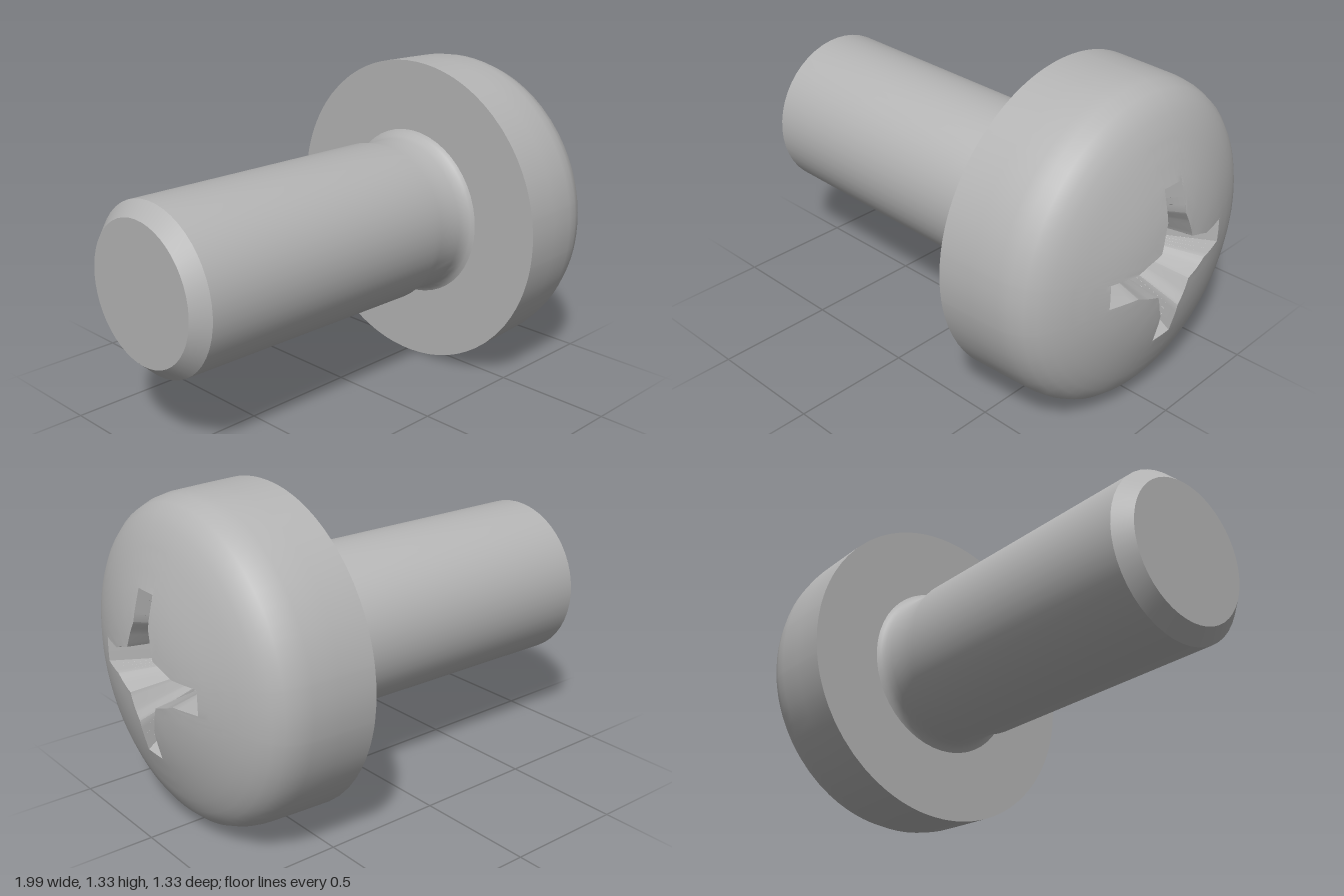
import * as THREE from 'three';
import { toCreasedNormals } from 'three/addons/utils/BufferGeometryUtils.js';

const AXIS_Y = 0.665;

// Head side and dome: [x, radius], from crown to underside
const CROWN = [[1, 0], [0.99, 0.15], [0.975, 0.24], [0.952, 0.33], [0.92, 0.425], [0.89, 0.5]];
const SIDE = [[0.862, 0.555], [0.835, 0.593], [0.8, 0.625], [0.75, 0.646], [0.7, 0.655],
  [0.58, 0.66], [0.43, 0.665], [0.43, 0.3]];
// Neck, shank and chamfered tail: [x, radius]
const SHANK = [[0.43, 0.365], [0.42, 0.35], [0.4, 0.338], [0.37, 0.332], [0.26, 0.332],
  [0.21, 0.343], [-0.94, 0.345], [-1, 0.288], [-1, 0]];

// One quarter of the cross recess, at its mouth and at its floor
const MOUTH = [[0.326, -0.05], [0.326, 0.05], [0.2, 0.053], [0.16, 0.07], [0.092, 0.092],
  [0.07, 0.16], [0.053, 0.2]];
const FLOOR = [[0.084, -0.04], [0.084, 0.04], [0.08, 0.044], [0.074, 0.05], [0.06, 0.06],
  [0.05, 0.074], [0.044, 0.08]];

// Height of the dome at a given radius
function domeX(r) {
  for (let i = 1; i < CROWN.length; i++) {
    const [x0, r0] = CROWN[i - 1], [x1, r1] = CROWN[i];
    if (r <= r1 || i === CROWN.length - 1) return x0 + (x1 - x0) * (r - r0) / (r1 - r0);
  }
}

// Repeat a quarter outline four times, with every edge subdivided
function crossLoop(quarter, steps = 4) {
  const corners = [];
  for (let q = 0; q < 4; q++) {
    for (const [u, v] of quarter) {
      corners.push(new THREE.Vector2(u, v).rotateAround(new THREE.Vector2(), q * Math.PI / 2));
    }
  }
  const loop = [];
  corners.forEach((p, i) => {
    const next = corners[(i + 1) % corners.length];
    for (let s = 0; s < steps; s++) loop.push(p.clone().lerp(next, s / steps));
  });
  return loop.map((p) => p.add(new THREE.Vector2(0.003, 0.01)));
}

const ring = (angles, x, r, y = AXIS_Y, z = 0) =>
  angles.map((a) => [x, y + r * Math.cos(a), z + r * Math.sin(a)]);

// Skin a series of closed loops
function loft(rings) {
  const n = rings[0].length, index = [];
  for (let i = 0; i < rings.length - 1; i++) {
    for (let j = 0; j < n; j++) {
      const k = (j + 1) % n;
      const a = i * n + j, b = (i + 1) * n + j, c = (i + 1) * n + k, d = i * n + k;
      index.push(a, b, c, a, c, d);
    }
  }
  const geo = new THREE.BufferGeometry();
  geo.setAttribute('position', new THREE.Float32BufferAttribute(rings.flat(2), 3));
  geo.setIndex(index);
  return toCreasedNormals(geo, 0.5);
}

export function createModel() {
  const group = new THREE.Group();
  const steel = new THREE.MeshStandardMaterial({ color: 0xb4b4b4 });
  steel.name = 'steel';
  const add = (name, rings) => {
    const mesh = new THREE.Mesh(loft(rings), steel);
    mesh.name = name;
    group.add(mesh);
  };

  const mouth = crossLoop(MOUTH), floor = crossLoop(FLOOR);
  const angles = mouth.map((p) => p.angle());

  // Head: dome spreading from the recess mouth to a circle, then the rounded side
  const headRings = [];
  for (let s = 0; s <= 8; s++) {
    headRings.push(mouth.map((p, j) => {
      const edge = new THREE.Vector2(Math.cos(angles[j]), Math.sin(angles[j])).multiplyScalar(0.5);
      const q = p.clone().lerp(edge, s / 8);
      return [domeX(q.length()), AXIS_Y + q.x, q.y];
    }));
  }
  for (const [x, r] of SIDE) headRings.push(ring(angles, x, r));
  add('head', headRings);

  // Cross recess: flat floor and sloping walls
  add('crossRecess', [
    floor.map(() => [0.58, AXIS_Y + 0.003, 0.01]),
    floor.map((p) => [0.58, AXIS_Y + p.x, p.y]),
    mouth.map((p) => [domeX(p.length()), AXIS_Y + p.x, p.y]),
  ]);

  // Shank, leaning very slightly off the head's axis
  const even = Array.from({ length: 48 }, (_, i) => i / 48 * Math.PI * 2);
  add('shank', SHANK.map(([x, r]) => {
    const t = (0.43 - x) / 1.43;
    return ring(even, x, r, AXIS_Y + 0.005 * t, -0.03 * t);
  }));

  return group;
}
